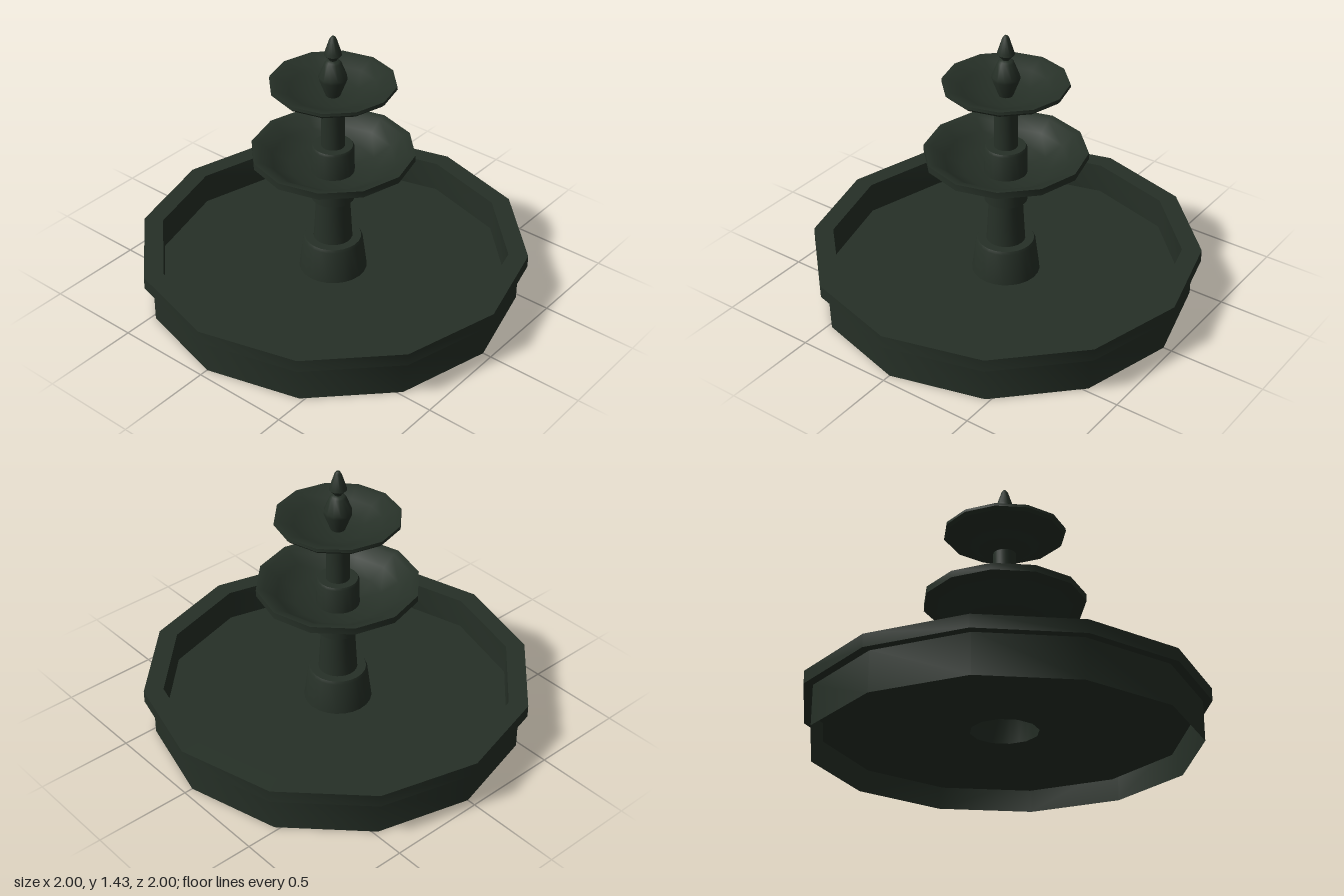
import * as THREE from 'three';
import { toCreasedNormals } from 'three/addons/utils/BufferGeometryUtils.js';

export function createModel() {
  const group = new THREE.Group();
  group.name = 'fountain';

  const stone = new THREE.MeshStandardMaterial({ color: 0x263027, side: THREE.DoubleSide });
  stone.name = 'dark green stone';

  // Turned part: profile of [radius, height] pairs, running up the outside
  function turned(name, sides, profile) {
    const points = profile.map(([r, y]) => new THREE.Vector2(r, y));
    const geometry = toCreasedNormals(new THREE.LatheGeometry(points, sides), 0.75);
    const mesh = new THREE.Mesh(geometry, stone);
    mesh.name = name;
    group.add(mesh);
  }

  // Basin: outer wall, overhanging lip, inner wall, then floor (open underneath)
  turned('basin', 12, [
    [0.955, 0], [0.955, 0.2], [1, 0.2], [1, 0.265],
    [0.9, 0.265], [0.9, 0.1], [0.17, 0.1],
  ]);

  // Hollow foot and tapered lower column
  turned('pedestalFoot', 24, [
    [0.175, 0.1], [0.153, 0.27], [0.145, 0.285], [0.1, 0.285],
  ]);
  turned('lowerColumn', 24, [[0.1, 0.28], [0.095, 0.36], [0.086, 0.52]]);

  // Collar passing through the lower bowl
  turned('collar', 24, [
    [0.085, 0.52], [0.11, 0.522], [0.11, 0.64], [0.107, 0.815], [0.1, 0.827], [0.058, 0.827],
  ]);

  // Lower bowl
  turned('lowerBowl', 12, [
    [0.1, 0.642], [0.15, 0.645], [0.22, 0.667], [0.31, 0.725], [0.37, 0.77],
    [0.412, 0.77], [0.412, 0.805], [0.375, 0.8], [0.31, 0.75], [0.22, 0.7], [0.1, 0.68],
  ]);

  // Upper column
  turned('upperColumn', 24, [[0.06, 0.825], [0.058, 1.07]]);

  // Upper bowl
  turned('upperBowl', 12, [
    [0.05, 1.06], [0.09, 1.065], [0.15, 1.09], [0.24, 1.153],
    [0.3, 1.155], [0.315, 1.17], [0.313, 1.185], [0.285, 1.182],
    [0.22, 1.15], [0.13, 1.115], [0, 1.108],
  ]);

  // Finial: bulb, neck and pointed bud
  turned('finial', 12, [
    [0.035, 1.108], [0.07, 1.2], [0.07, 1.215], [0.041, 1.288], [0.033, 1.297], [0.018, 1.302],
    [0.02, 1.308], [0.044, 1.332], [0.041, 1.345], [0.017, 1.418], [0.008, 1.43], [0, 1.432],
  ]);

  return group;
}
